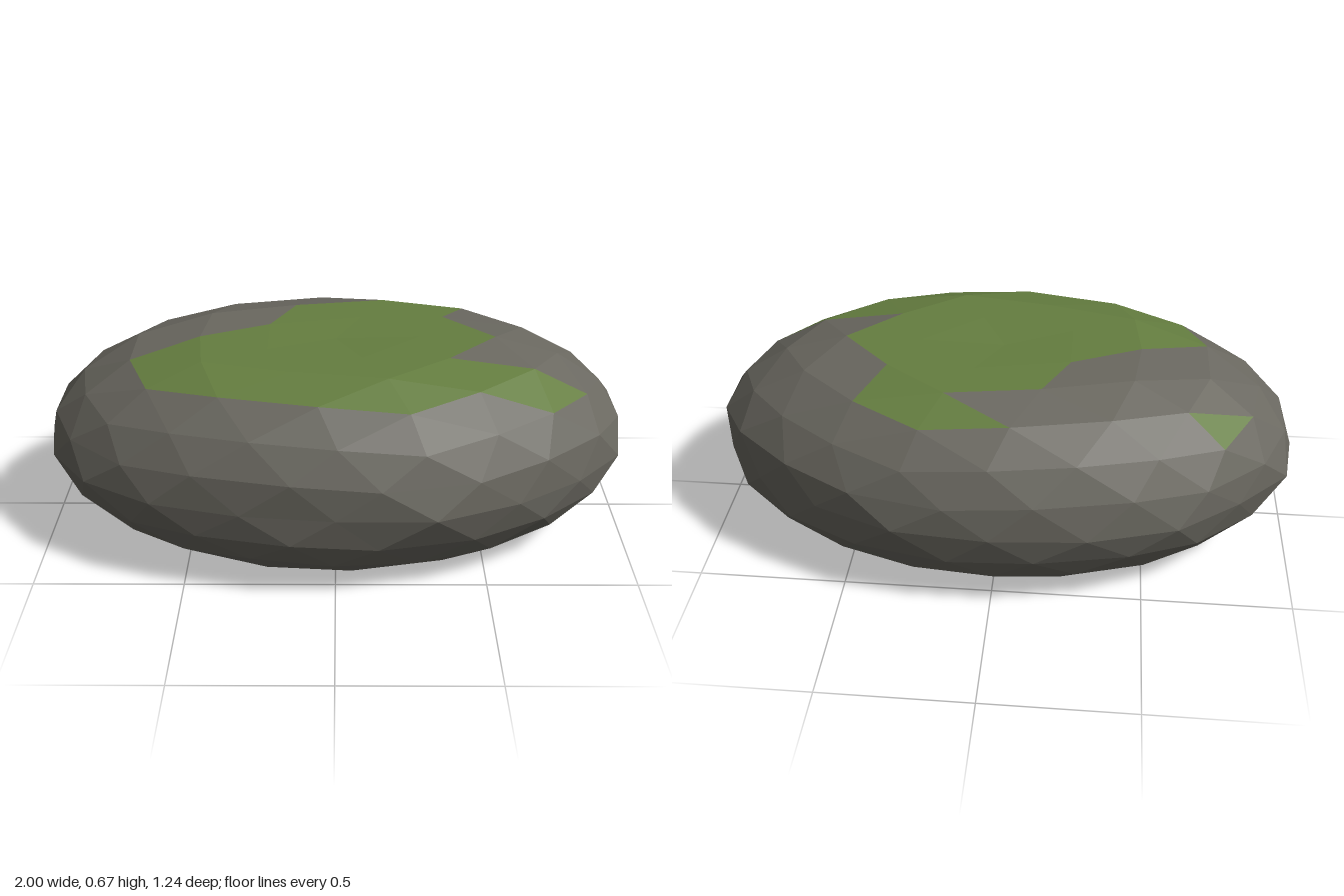
import * as THREE from 'three';

const stone = new THREE.MeshStandardMaterial({ color: 0x6a6860 });
stone.name = 'grey stone';
const moss = new THREE.MeshStandardMaterial({ color: 0x657e40 });
moss.name = 'green moss';

// Outlines of the moss patches, seen from above as [x, z]
const mossPatches = [
  [[-0.04, -0.42], [0.22, -0.47], [0.45, -0.34], [0.36, -0.18], [0.52, 0], [0.36, 0.18], [0.65, 0.17],
    [0.84, 0.17], [0.7, 0.33], [0.46, 0.35], [0.22, 0.47], [-0.06, 0.44], [-0.38, 0.39], [-0.61, 0.28],
    [-0.67, 0.1], [-0.45, 0], [-0.21, -0.1], [-0.14, -0.28], [0.15, -0.32]],
  [[-0.82, -0.2], [-0.73, -0.34], [-0.62, -0.28]],
];

// Slight unevenness of the girth, every 18 degrees from +x towards +z
const girth = [1, 1.01, 0.99, 1, 1.03, 0.98, 0.98, 1.01, 1.02, 1.01,
  1, 1.02, 0.99, 1.02, 1.01, 1, 1.01, 0.98, 0.98, 0.98];

function inside([x, z], poly) {
  let hit = false;
  poly.forEach(([ax, az], i) => {
    const [bx, bz] = poly[(i + 1) % poly.length];
    if ((az > z) !== (bz > z) && x < ax + ((z - az) * (bx - ax)) / (bz - az)) hit = !hit;
  });
  return hit;
}

// Turns a point on the unit sphere into a point on the squashed boulder
function shape(n) {
  const k = Math.round(Math.atan2(n.z, n.x) / (Math.PI / 10) + 20) % 20;
  const r = Math.abs(n.y) < 0.1 ? girth[k] : 1 + 0.04 * Math.max(n.y, 0);
  const top = n.y > 0.99 ? 0.665 : 0.672;
  const y = THREE.MathUtils.clamp(0.32 + 0.432 * n.y, 0, top);
  return new THREE.Vector3(THREE.MathUtils.clamp(n.x * r, -1, 1), y, n.z * r * 0.627);
}

// Unit icosphere with a corner at each pole, two rounds of subdivision
function sphereFaces() {
  const ring = (y, turn) => Array.from({ length: 5 }, (_, i) => {
    const a = ((i * 72 + turn) * Math.PI) / 180;
    return new THREE.Vector3(Math.cos(a) * 2, y, Math.sin(a) * 2).normalize();
  });
  const up = ring(1, 0), low = ring(-1, 36);
  const north = new THREE.Vector3(0, 1, 0), south = new THREE.Vector3(0, -1, 0);
  let faces = [];
  for (let i = 0; i < 5; i++) {
    const j = (i + 1) % 5;
    faces.push([north, up[j], up[i]], [up[j], low[i], up[i]], [up[j], low[j], low[i]], [low[j], south, low[i]]);
  }
  const mid = (a, b) => a.clone().add(b).normalize();
  for (let level = 0; level < 2; level++) {
    faces = faces.flatMap(([a, b, c]) => {
      const ab = mid(a, b), bc = mid(b, c), ca = mid(c, a);
      return [[a, ab, ca], [ab, b, bc], [ca, bc, c], [ab, bc, ca]];
    });
  }
  return faces;
}

// Faceted mesh from a list of triangles
function facetMesh(name, faces, material) {
  const geometry = new THREE.BufferGeometry().setFromPoints(faces.flat());
  geometry.computeVertexNormals();
  const mesh = new THREE.Mesh(geometry, material);
  mesh.name = name;
  return mesh;
}

export function createModel() {
  const bare = [], mossy = [];
  for (const face of sphereFaces()) {
    const tri = face.map(shape);
    const centre = [(tri[0].x + tri[1].x + tri[2].x) / 3, (tri[0].z + tri[1].z + tri[2].z) / 3];
    const upper = face.every((n) => n.y > 0.3);
    (upper && mossPatches.some((p) => inside(centre, p)) ? mossy : bare).push(tri);
  }
  const group = new THREE.Group();
  group.name = 'mossy boulder';
  group.add(facetMesh('boulder', bare, stone), facetMesh('mossPatches', mossy, moss));
  return group;
}
